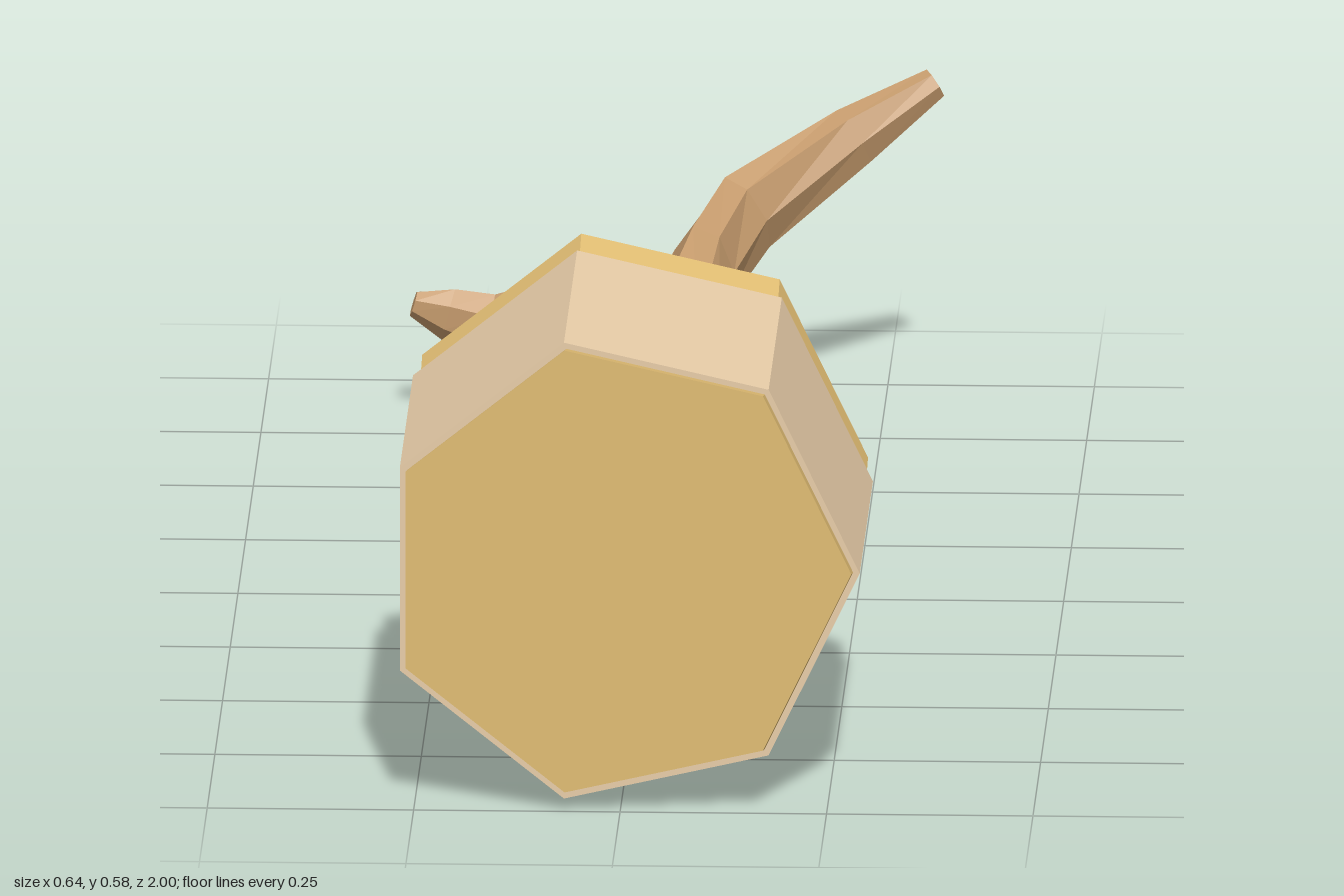
import * as THREE from 'three';

const SIDES = 7;
const material = (color) => new THREE.MeshStandardMaterial({ color, flatShading: true });

// Closed seven-sided loft. Each ring is [x, y, z, halfWidth, halfHeight];
// rings face along the path, or along -z when upright is true.
function loft(name, rings, mat, upright = false) {
  const centres = rings.map(([x, y, z]) => new THREE.Vector3(x, y, z));
  const loops = rings.map(([, , , rx, ry = rx], i) => {
    const dir = new THREE.Vector3(0, 0, -1);
    if (!upright) {
      const before = centres[Math.max(i - 1, 0)];
      const after = centres[Math.min(i + 1, centres.length - 1)];
      dir.subVectors(after, before).normalize();
    }
    const side = new THREE.Vector3().crossVectors(dir, new THREE.Vector3(0, 1, 0)).normalize();
    const up = new THREE.Vector3().crossVectors(side, dir);
    return Array.from({ length: SIDES }, (_, j) => {
      const a = (j / SIDES) * Math.PI * 2;
      return centres[i].clone()
        .addScaledVector(side, Math.cos(a) * rx)
        .addScaledVector(up, Math.sin(a) * ry);
    });
  });

  const points = [];
  const last = loops.length - 1;
  for (let j = 0; j < SIDES; j++) {
    const k = (j + 1) % SIDES;
    for (let i = 0; i < last; i++) {
      const [a, b, c, d] = [loops[i][j], loops[i][k], loops[i + 1][k], loops[i + 1][j]];
      points.push(a, d, c, a, c, b);
    }
    points.push(centres[0], loops[0][j], loops[0][k]);
    points.push(centres[last], loops[last][k], loops[last][j]);
  }
  const geometry = new THREE.BufferGeometry().setFromPoints(points);
  geometry.computeVertexNormals();
  const mesh = new THREE.Mesh(geometry, mat);
  mesh.name = name;
  return mesh;
}

export function createModel() {
  const model = new THREE.Group();
  model.name = 'marshmallowOnStick';
  const soft = material(0xe8cda8);
  const toasted = material(0xe0bc72);
  const wood = material(0xc49a6c);

  // Marshmallow: pale body with slightly raised, toasted ends
  model.add(
    loft('marshmallowBody', [[-0.005, 0.288, 0.94, 0.293], [-0.005, 0.288, 0.51, 0.293]], soft, true),
    loft('frontEnd', [[-0.004, 0.303, 1, 0.284], [-0.004, 0.288, 0.935, 0.284]], toasted, true),
    loft('backEnd', [[-0.004, 0.288, 0.515, 0.284], [-0.004, 0.303, 0.455, 0.284]], toasted, true),
  );

  // Wavy main stick
  model.add(loft('stick', [
    [-0.01, 0.297, 0.5, 0.075],
    [-0.01, 0.304, 0.27, 0.075],
    [-0.01, 0.273, 0.13, 0.075],
    [-0.01, 0.168, -0.14, 0.075],
    [-0.01, 0.118, -0.365, 0.072],
    [-0.01, 0.15, -0.6, 0.072],
    [-0.01, 0.165, -0.68, 0.045],
  ], wood));

  // Fork: a rising branch on +x and a low one on -x
  model.add(loft('risingBranch', [
    [0.0, 0.146, -0.57, 0.062, 0.07],
    [0.036, 0.205, -0.77, 0.038, 0.064],
    [0.08, 0.245, -0.885, 0.04, 0.056],
    [0.21, 0.325, -0.952, 0.03, 0.04],
    [0.308, 0.385, -0.985, 0.018, 0.02],
  ], wood));
  model.add(loft('lowBranch', [
    [-0.02, 0.146, -0.56, 0.062, 0.07],
    [-0.06, 0.16, -0.71, 0.06, 0.065],
    [-0.125, 0.14, -0.79, 0.045, 0.052],
    [-0.215, 0.12, -0.82, 0.03, 0.042],
    [-0.275, 0.132, -0.83, 0.024, 0.034],
    [-0.318, 0.145, -0.828, 0.014, 0.016],
  ], wood));

  // Short broken twig near the marshmallow
  model.add(loft('twig', [
    [-0.04, 0.318, 0.27, 0.045],
    [-0.085, 0.338, 0.165, 0.05],
    [-0.125, 0.348, 0.11, 0.035, 0.03],
    [-0.158, 0.355, 0.076, 0.025, 0.018],
  ], wood));

  return model;
}
